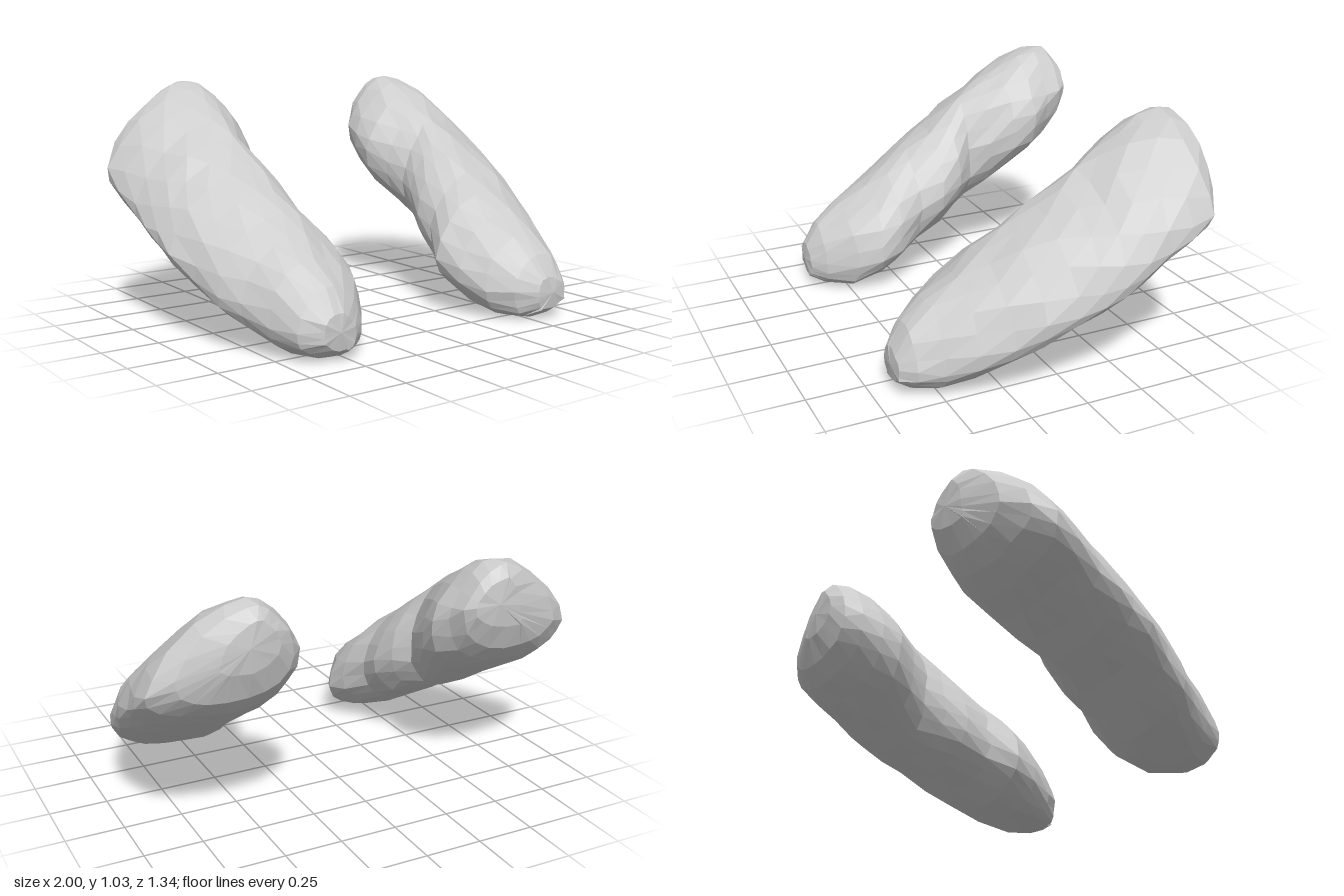
import * as THREE from 'three';

// Slices from back to front: z, bottom y, top y, inner x, outer x
const LEFT = [
  [-0.66, 0.76, 0.97, 0.47, 0.72], [-0.62, 0.64, 1.02, 0.39, 0.88], [-0.55, 0.57, 1.03, 0.34, 0.98],
  [-0.46, 0.50, 1.00, 0.31, 0.99], [-0.36, 0.44, 0.95, 0.31, 0.99], [-0.26, 0.38, 0.88, 0.36, 1.00],
  [-0.17, 0.32, 0.82, 0.39, 0.99], [-0.08, 0.27, 0.76, 0.37, 0.98], [0.02, 0.22, 0.69, 0.33, 0.95],
  [0.14, 0.15, 0.61, 0.31, 0.92], [0.26, 0.08, 0.53, 0.25, 0.87], [0.38, 0.03, 0.45, 0.28, 0.82],
  [0.50, 0.00, 0.37, 0.33, 0.76], [0.60, 0.01, 0.29, 0.41, 0.71], [0.66, 0.05, 0.20, 0.50, 0.66],
];
const RIGHT = [
  [-0.66, 0.76, 0.98, 0.41, 0.64], [-0.62, 0.65, 1.03, 0.38, 0.84], [-0.55, 0.57, 1.04, 0.36, 0.95],
  [-0.46, 0.50, 1.01, 0.33, 1.00], [-0.36, 0.44, 0.96, 0.34, 0.99], [-0.25, 0.37, 0.88, 0.38, 0.98],
  [-0.15, 0.31, 0.82, 0.42, 0.97], [-0.07, 0.27, 0.76, 0.36, 0.96], [0.02, 0.22, 0.69, 0.33, 0.95],
  [0.14, 0.15, 0.61, 0.34, 0.91], [0.26, 0.08, 0.53, 0.29, 0.87], [0.36, 0.04, 0.46, 0.27, 0.82],
  [0.48, 0.00, 0.38, 0.32, 0.77], [0.60, 0.01, 0.29, 0.41, 0.71], [0.66, 0.05, 0.20, 0.48, 0.63],
];
const SIDES = 20;

// Small repeatable noise that roughens the facets
function seeded(seed) {
  let s = seed;
  return () => {
    s = (s * 16807) % 2147483647;
    return s / 2147483647 - 0.5;
  };
}

// One point of a skewed rounded slice: four arcs joining inner, top, outer and bottom extremes.
// Crest and keel run straight along the lobe, so the inner notch stays shallow on top.
function slicePoint([z, y0, y1, xi, xo], angle) {
  const c = Math.cos(angle), s = Math.sin(angle);
  const { lerp, smoothstep } = THREE.MathUtils;
  const h = y1 - y0;
  const t = smoothstep(z, -0.5, 0.5);
  const midX = s > 0 ? 0.56 : lerp(0.64, 0.53, t);
  const midY = y0 + h * (c > 0 ? lerp(0.27, 0.34, t) : lerp(0.47, 0.36, t));
  const p = s > 0 ? lerp(1.3, 1.05, t) : c > 0 ? 1 : 0.9;
  const x = midX + Math.sign(c) * Math.abs(c) ** p * (c > 0 ? xo - midX : midX - xi);
  const y = midY + Math.sign(s) * Math.abs(s) ** p * (s > 0 ? y1 - midY : midY - y0);
  return [x, y, z];
}

function lobe(name, slices, mirror, seed) {
  const rand = seeded(seed);
  const pos = [], idx = [];
  const add = (x, y, z) => pos.push(mirror * x, y, z);
  const tri = (a, b, c) => (mirror > 0 ? idx.push(a, b, c) : idx.push(a, c, b));

  // Rings, each turned half a step for staggered triangles
  slices.forEach((slice, i) => {
    const end = i < 2 || i > slices.length - 3;
    for (let j = 0; j < SIDES; j++) {
      const [x, y, z] = slicePoint(slice, ((j + i / 2) / SIDES) * Math.PI * 2);
      add(x + rand() * 0.012, y + rand() * 0.012, z + rand() * (end ? 0.006 : 0.02));
    }
  });
  for (let i = 0; i < slices.length - 1; i++) {
    for (let j = 0; j < SIDES; j++) {
      const k = (j + 1) % SIDES, a = i * SIDES, b = a + SIDES;
      tri(a + j, a + k, b + j);
      tri(a + k, b + k, b + j);
    }
  }

  // Blunt ends
  const cap = ([z, y0, y1, xi, xo], base, dir) => {
    const tip = pos.length / 3;
    add((xi + xo) / 2, (y0 + y1) / 2, z + dir * 0.01);
    for (let j = 0; j < SIDES; j++) {
      const k = (j + 1) % SIDES;
      if (dir > 0) tri(tip, base + j, base + k);
      else tri(tip, base + k, base + j);
    }
  };
  cap(slices[0], 0, -1);
  cap(slices[slices.length - 1], (slices.length - 1) * SIDES, 1);

  const geo = new THREE.BufferGeometry();
  geo.setAttribute('position', new THREE.Float32BufferAttribute(pos, 3));
  geo.setIndex(idx);
  geo.computeVertexNormals();
  const mesh = new THREE.Mesh(geo, new THREE.MeshStandardMaterial({ color: 0xcccccc, flatShading: true }));
  mesh.name = name;
  return mesh;
}

export function createModel() {
  const group = new THREE.Group();
  group.name = 'kidneyLobes';
  group.add(lobe('leftLobe', LEFT, 1, 11), lobe('rightLobe', RIGHT, -1, 47));
  return group;
}
